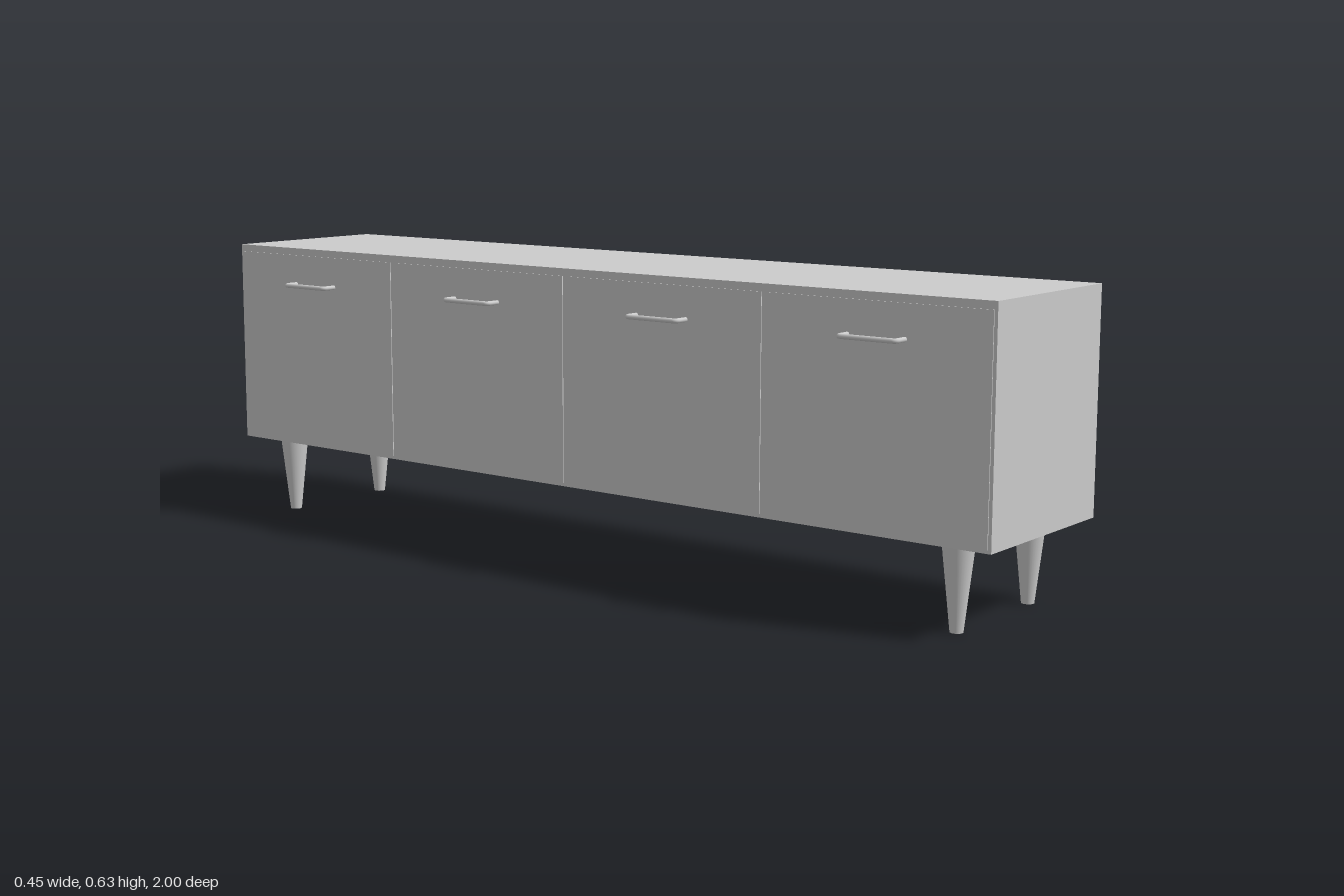
import * as THREE from 'three';

const material = new THREE.MeshStandardMaterial({ color: 0xcccccc });

function addMesh(parent, name, geometry, x, y, z) {
  const mesh = new THREE.Mesh(geometry, material);
  mesh.name = name;
  mesh.position.set(x, y, z);
  parent.add(mesh);
  return mesh;
}

// U-shaped pull with small rounded corners, projecting toward -x
function handleGeometry(depth, halfWidth, radius) {
  const r = 0.009;
  const v = (x, z) => new THREE.Vector3(x, 0, z);
  const path = new THREE.CurvePath();
  path.add(new THREE.LineCurve3(v(0, -halfWidth), v(-depth + r, -halfWidth)));
  path.add(new THREE.QuadraticBezierCurve3(v(-depth + r, -halfWidth), v(-depth, -halfWidth), v(-depth, -halfWidth + r)));
  path.add(new THREE.LineCurve3(v(-depth, -halfWidth + r), v(-depth, halfWidth - r)));
  path.add(new THREE.QuadraticBezierCurve3(v(-depth, halfWidth - r), v(-depth, halfWidth), v(-depth + r, halfWidth)));
  path.add(new THREE.LineCurve3(v(-depth + r, halfWidth), v(0, halfWidth)));
  return new THREE.TubeGeometry(path, 80, radius, 12, false);
}

export function createModel() {
  const model = new THREE.Group();
  model.name = 'sideboard';

  // Long cabinet body
  const back = 0.223, front = -0.185, bottom = 0.173, top = 0.631;
  addMesh(model, 'cabinetBody', new THREE.BoxGeometry(back - front, top - bottom, 2),
    (back + front) / 2, (top + bottom) / 2, 0);

  // Four doors standing slightly proud, each with a pull
  const doorGeometry = new THREE.BoxGeometry(0.012, 0.435, 0.486);
  const pullGeometry = handleGeometry(0.035, 0.062, 0.005);
  [-0.75, -0.25, 0.25, 0.75].forEach((z, i) => {
    const door = new THREE.Group();
    door.name = `door${i + 1}`;
    door.position.z = z;
    addMesh(door, 'doorPanel', doorGeometry, front + 0.004, 0.3975, 0);
    addMesh(door, 'doorHandle', pullGeometry, front, 0.548, 0);
    model.add(door);
  });

  // Tapered round legs
  const legGeometry = new THREE.CylinderGeometry(0.032, 0.013, bottom, 32);
  for (const x of [-0.125, 0.154]) {
    for (const z of [-0.9, 0.9]) {
      addMesh(model, x < 0 ? 'doorSideLeg' : 'backSideLeg', legGeometry, x, bottom / 2, z);
    }
  }
  return model;
}
